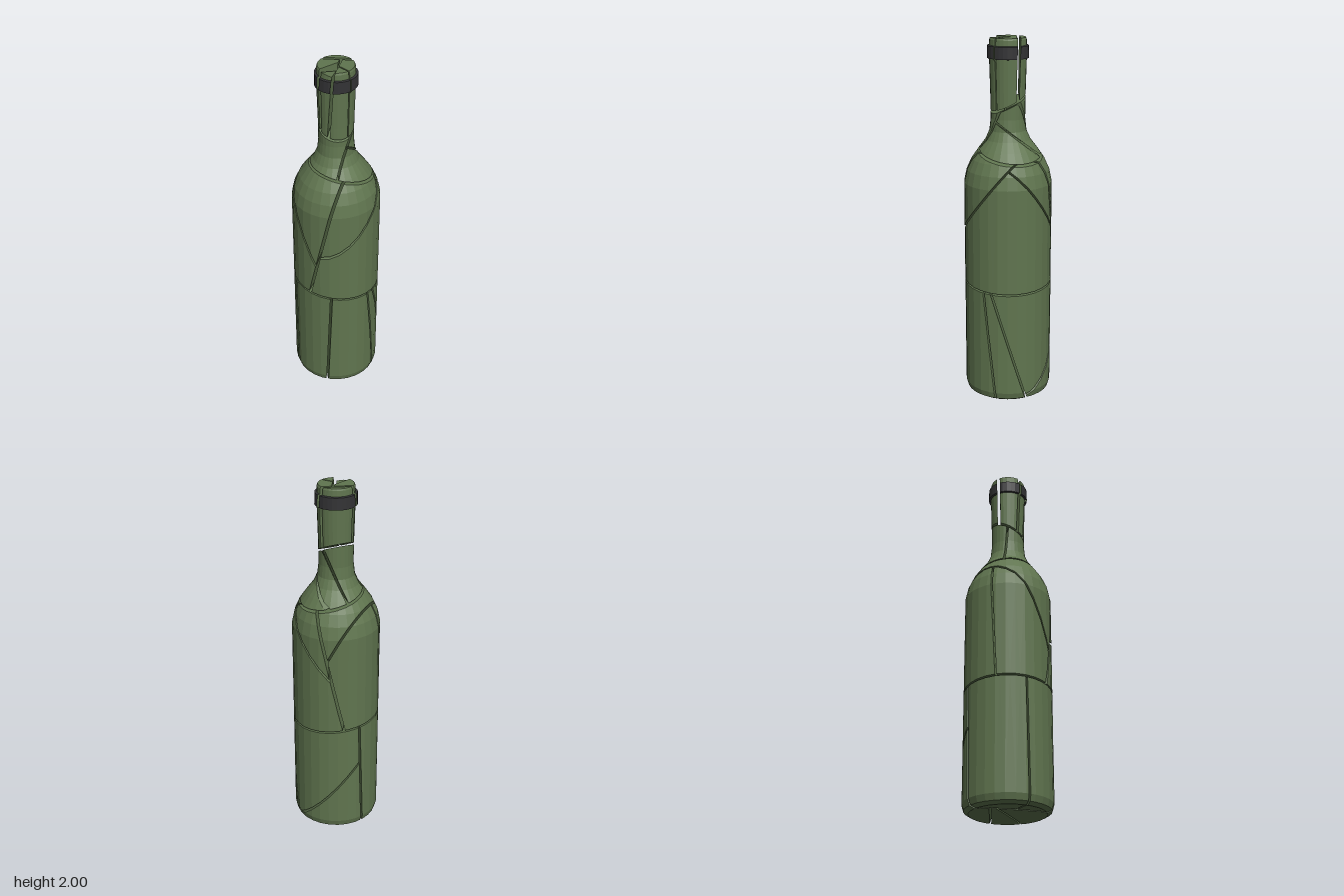
import * as THREE from 'three';

const SIDES = 28;
const GAP = 0.005; // half of a crack's width
const V = (p) => new THREE.Vector3(...p);

// Outline of the whole bottle, radius and height, bottom to top
const PROFILE = [
  [0, 0.008], [0.17, 0.006], [0.205, 0], [0.23, 0.015], [0.24, 0.05], [0.24, 1.22], [0.225, 1.29],
  [0.198, 1.35], [0.16, 1.405], [0.122, 1.455], [0.1, 1.505], [0.093, 1.57], [0.094, 1.68],
  [0.1, 1.89], [0.112, 1.892], [0.111, 1.957], [0.1, 1.96], [0.099, 1.99], [0.095, 2], [0, 2],
];

// A cut: three points on its plane, the pieces on its plus and minus side, half the gap.
// The plus side is the positive direction of the plane normal's main axis.
const cut = (points, plus, minus, gap = GAP) => ({ points, plus, minus, gap });

const base = cut([[0.01, 0.65, 0.24], [-0.12, 0.65, -0.21], [-0.015, 0, 0.24]],
  cut([[0.2, 0.62, 0.13], [0.23, 0.03, 0.07], [0, 0.3, 0.02]],
    'baseFrontLeft',
    cut([[0.22, 0.62, 0.085], [0.21, 0.02, -0.1], [0, 0.3, 0]],
      'baseSideSliver',
      cut([[-0.08, 0.38, -0.226], [0.17, 0.08, -0.17], [0.22, 0.02, -0.08]], 'baseBack', 'baseBackCorner'))),
  cut([[-0.21, 0.65, 0.11], [-0.2, 0, 0.12], [0, 0.3, 0]], 'baseFrontRight', 'baseBackRight'),
  0.006);

const body = cut([[-0.11, 0.69, 0.21], [0, 1.2, 0.235], [0.02, 0.9, -0.23]],
  cut([[-0.05, 0.94, 0.235], [0.15, 1.07, 0.19], [0.225, 1.32, 0]],
    'bodyFrontUpper',
    cut([[0.22, 1.33, 0], [0.05, 0.98, -0.235], [0, 1.15, 0]], 'bodyBackUpper', 'bodyLeft')),
  cut([[-0.08, 0.88, 0.225], [-0.22, 1.25, 0.1], [-0.05, 1.1, -0.05]],
    'bodyFrontWedge',
    cut([[-0.225, 1.3, -0.08], [-0.233, 0.67, -0.05], [0, 1, 0]], 'bodyRight', 'bodyBack')),
  0.007);

const shoulder = cut([[0.08, 1.6, 0.06], [0.03, 1.4, 0.16], [-0.05, 1.4, -0.15]],
  cut([[0.11, 1.45, -0.08], [0.1, 1.38, -0.17], [0, 1.5, 0]], 'shoulderLeft', 'shoulderBackLeft'),
  cut([[-0.14, 1.43, -0.015], [-0.09, 1.6, 0], [0, 1.5, 0]], 'shoulderFront', 'shoulderBackRight'),
  0.006);

const neck = cut([[-0.1, 1.97, -0.05], [0.08, 1.97, -0.06], [0, 1.7, -0.05]],
  cut([[0, 2, 0.11], [-0.02, 1.7, 0.09], [0.01, 1.9, -0.05]],
    cut([[0.07, 1.7, 0.06], [0.075, 2, 0.065], [0, 1.8, 0.01]], 'neckFront', 'neckLeft', 0.003),
    cut([[-0.08, 2, 0.08], [0, 2, 0], [-0.07, 1.7, 0.06]],
      // chipped rim
      cut([[-0.1, 1.99, 0], [0, 1.965, 0], [-0.03, 1.985, 0.1]], null, 'neckFrontSliver', 0),
      'neckRight', 0.008),
    0.007),
  'neckBack', 0.008);

const SHARDS = cut([[0, 0.66, 0.1], [0.24, 0.635, 0], [-0.24, 0.682, -0.05]],
  cut([[-0.05, 1.42, 0.16], [0.2, 1.35, 0], [-0.06, 1.39, -0.17]],
    cut([[-0.1, 1.67, 0], [0.08, 1.62, 0.04], [0.05, 1.68, -0.08]], neck, shoulder, 0.006),
    body, 0.006),
  base);

// The uncut solid as a list of polygons; the raised ring near the rim is marked as band
function solidPolygons() {
  const lathe = new THREE.LatheGeometry(PROFILE.map((p) => new THREE.Vector2(...p)), SIDES).toNonIndexed();
  const pos = lathe.attributes.position;
  const polygons = [];
  for (let i = 0; i < pos.count; i += 3) {
    const points = [0, 1, 2].map((k) => new THREE.Vector3().fromBufferAttribute(pos, i + k));
    if (new THREE.Triangle(...points).getArea() < 1e-9) continue;
    const band = points.every((p) => p.y > 1.885 && p.y < 1.965);
    polygons.push({ points, band });
  }
  return polygons;
}

// Keep the part of a solid in front of a plane and close the cut with a fan
function clip(polygons, plane) {
  const kept = [];
  const edges = [];
  for (const { points, band } of polygons) {
    const out = [];
    let exit = null;
    let entry = null;
    points.forEach((a, i) => {
      const b = points[(i + 1) % points.length];
      const da = plane.distanceToPoint(a);
      const db = plane.distanceToPoint(b);
      if (da >= 0) out.push(a);
      if ((da >= 0) !== (db >= 0)) {
        const p = a.clone().lerp(b, da / (da - db));
        out.push(p);
        if (da >= 0) exit = p;
        else entry = p;
      }
    });
    if (out.length > 2) kept.push({ points: out, band });
    if (exit && entry && exit.distanceTo(entry) > 1e-7) edges.push([entry, exit]);
  }
  const centre = new THREE.Vector3();
  edges.forEach(([a, b]) => centre.add(a).add(b));
  centre.divideScalar(Math.max(1, edges.length * 2));
  edges.forEach(([a, b]) => kept.push({ points: [centre, a, b], band: false }));
  return kept;
}

function toGeometry(polygons) {
  const data = [];
  for (const { points } of polygons) {
    for (let i = 1; i < points.length - 1; i++) {
      [points[0], points[i], points[i + 1]].forEach((p) => data.push(p.x, p.y, p.z));
    }
  }
  const geometry = new THREE.BufferGeometry();
  geometry.setAttribute('position', new THREE.Float32BufferAttribute(data, 3));
  geometry.computeVertexNormals();
  return geometry;
}

export function createModel() {
  const model = new THREE.Group();
  model.name = 'shatteredBottle';
  const glass = new THREE.MeshStandardMaterial({ color: 0x60754f, flatShading: true });
  const dark = new THREE.MeshStandardMaterial({ color: 0x333335, flatShading: true });

  const addMesh = (name, polygons, material) => {
    if (!polygons.length) return;
    const mesh = new THREE.Mesh(toGeometry(polygons), material);
    mesh.name = name;
    model.add(mesh);
  };

  // Walk down the cuts; every end is one shard
  const split = (polygons, node) => {
    if (!node) return;
    if (typeof node === 'string') {
      addMesh(node, polygons.filter((p) => !p.band), glass);
      addMesh(node + 'Band', polygons.filter((p) => p.band), dark);
      return;
    }
    const plane = new THREE.Plane().setFromCoplanarPoints(...node.points.map(V));
    const main = plane.normal.toArray().reduce((m, v) => (Math.abs(v) > Math.abs(m) ? v : m), 0);
    if (main < 0) plane.negate();
    const opposite = plane.clone().negate();
    plane.constant -= node.gap;
    opposite.constant -= node.gap;
    split(clip(polygons, plane), node.plus);
    split(clip(polygons, opposite), node.minus);
  };
  split(solidPolygons(), SHARDS);
  return model;
}
